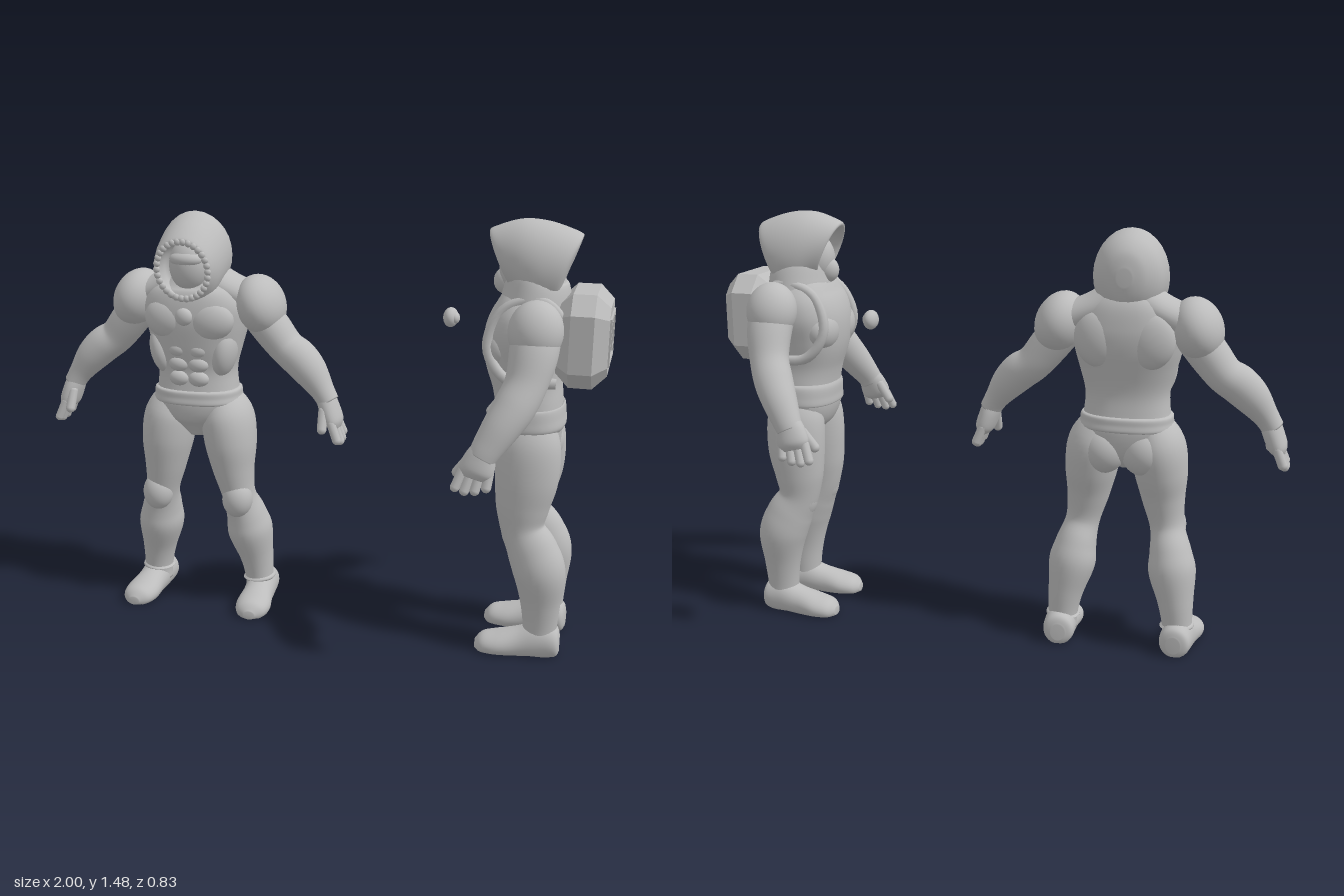
import * as THREE from 'three';

const clay = new THREE.MeshStandardMaterial({ color: 0xbcbcbc });
clay.name = 'clay grey';
const SEG = 28;

function add(parent, name, geo) {
  const m = new THREE.Mesh(geo, clay);
  m.name = name;
  parent.add(m);
  return m;
}

// Smoothly resample a list of numeric sections
function smooth(secs, steps = 6) {
  const out = [], n = secs.length - 1;
  for (let i = 0; i < n; i++) {
    const p = [secs[Math.max(0, i - 1)], secs[i], secs[i + 1], secs[Math.min(n, i + 2)]];
    for (let k = 0; k < steps; k++) {
      const t = k / steps;
      out.push(p[1].map((b, j) => {
        const a = p[0][j], c = p[2][j], d = p[3][j];
        return b + 0.5 * t * (c - a + t * (2 * a - 5 * b + 4 * c - d + t * (3 * (b - c) + d - a)));
      }));
    }
  }
  out.push(secs[n]);
  return out;
}

// Closed skin over rings of points
function skin(rings) {
  const pos = [], idx = [], n = rings.length;
  rings.forEach(r => r.forEach(p => pos.push(p.x, p.y, p.z)));
  for (let i = 0; i < n - 1; i++) for (let a = 0; a < SEG; a++) {
    const b = (a + 1) % SEG, r = i * SEG, q = r + SEG;
    idx.push(r + a, q + a, r + b, r + b, q + a, q + b);
  }
  [0, n - 1].forEach(i => {
    const c = new THREE.Vector3();
    rings[i].forEach(p => c.addScaledVector(p, 1 / SEG));
    const ci = pos.length / 3;
    pos.push(c.x, c.y, c.z);
    for (let a = 0; a < SEG; a++) {
      const b = (a + 1) % SEG, r = i * SEG;
      if (i === 0) idx.push(ci, r + a, r + b); else idx.push(ci, r + b, r + a);
    }
  });
  const g = new THREE.BufferGeometry();
  g.setAttribute('position', new THREE.Float32BufferAttribute(pos, 3));
  g.setIndex(idx);
  g.computeVertexNormals();
  return g;
}

// Limb or trunk: sections [x, y, z, width radius, depth radius]
function limb(secs, s = 1, power = 1) {
  const S = smooth(secs.map(([x, ...r]) => [x * s, ...r]));
  const P = S.map(v => new THREE.Vector3(v[0], v[1], v[2]));
  const bend = v => Math.sign(v) * Math.abs(v) ** power;
  return skin(S.map((v, i) => {
    const t = P[Math.min(i + 1, P.length - 1)].clone().sub(P[Math.max(i - 1, 0)]).normalize();
    const u = t.clone().cross(new THREE.Vector3(0, 0, 1)).normalize(), w = u.clone().cross(t);
    return Array.from({ length: SEG }, (_, k) => {
      const a = k / SEG * Math.PI * 2;
      return P[i].clone().addScaledVector(u, bend(Math.cos(a)) * v[3]).addScaledVector(w, bend(Math.sin(a)) * v[4]);
    });
  }));
}

// Front-to-back form: sections [z, centre y, half width, half height, slant], kept above y = floor
function frontLoft(secs, floor = -9) {
  return skin(smooth(secs).map(([z, y, rx, ry, sl]) => Array.from({ length: SEG }, (_, k) => {
    const a = k / SEG * Math.PI * 2, dy = Math.sin(a) * ry;
    return new THREE.Vector3(-Math.cos(a) * rx, Math.max(floor, y + dy), z + sl * dy);
  })));
}

function blob(parent, name, [x, y, z], [a, b, c], rz = 0, rx = 0) {
  const m = add(parent, name, new THREE.SphereGeometry(1, 28, 20));
  m.position.set(x, y, z);
  m.scale.set(a, b, c);
  m.rotation.set(rx, 0, rz);
  return m;
}

function finger(parent, name, from, to, r) {
  const a = new THREE.Vector3(...from), b = new THREE.Vector3(...to), d = b.clone().sub(a);
  const m = add(parent, name, new THREE.CapsuleGeometry(r, d.length(), 5, 10));
  m.position.copy(a).add(b).multiplyScalar(0.5);
  m.quaternion.setFromUnitVectors(new THREE.Vector3(0, 1, 0), d.normalize());
}

// Hand hanging from wrist to fingertips, thumb forward
function hand(parent, s, [wx, wy, wz], [tx, ty, tz]) {
  const at = (f, dx, dz) => [s * (wx + (tx - wx) * f + dx), wy + (ty - wy) * f, wz + (tz - wz) * f + dz];
  add(parent, 'palm', limb([[...at(-0.05, 0, 0), 0.035, 0.035], [...at(0.2, 0, 0), 0.036, 0.05],
    [...at(0.5, 0, 0), 0.033, 0.056], [...at(0.65, 0, 0), 0.018, 0.04]]));
  for (let i = 0; i < 4; i++) {
    const z = (i - 1.5) * 0.028, reach = [0.82, 0.9, 0.92, 0.86][i];
    finger(parent, 'finger', at(0.5, 0, z), at(reach, 0.002, z * 1.15), 0.016);
  }
  finger(parent, 'thumb', at(0.25, -0.015, 0.035), at(0.62, -0.035, 0.06), 0.017);
}

// Boot foot with flat sole
function foot(parent, s, x, z, turn) {
  const g = new THREE.Group();
  g.name = 'foot';
  add(g, 'boot', frontLoft([[-0.075, 0.045, 0.025, 0.03, 0], [-0.06, 0.05, 0.052, 0.055, 0], [0, 0.05, 0.056, 0.068, 0],
    [0.07, 0.035, 0.056, 0.055, 0], [0.14, 0.025, 0.064, 0.045, 0], [0.19, 0.02, 0.052, 0.036, 0], [0.215, 0.015, 0.02, 0.015, 0]], 0));
  g.position.set(s * x, 0, z);
  g.rotation.y = s * turn;
  parent.add(g);
}

// Figure with shoulder armour and a round hood
function armouredFigure() {
  const g = new THREE.Group();
  g.name = 'armouredFigure';
  add(g, 'torso', limb([[0, 0.65, 0, 0.025, 0.045], [0, 0.71, -0.01, 0.1, 0.1], [0, 0.78, -0.01, 0.155, 0.115], [0, 0.84, -0.01, 0.148, 0.105],
    [0, 0.91, -0.01, 0.145, 0.1], [0, 0.99, -0.01, 0.165, 0.115], [0, 1.07, -0.015, 0.185, 0.13], [0, 1.14, -0.02, 0.19, 0.13],
    [0, 1.2, -0.025, 0.15, 0.115], [0, 1.25, -0.02, 0.09, 0.085]], 1, 0.85));
  add(g, 'belt', limb([[0, 0.782, -0.01, 0.14, 0.1], [0, 0.788, -0.01, 0.162, 0.12], [0, 0.81, -0.01, 0.16, 0.118],
    [0, 0.832, -0.01, 0.157, 0.115], [0, 0.838, -0.01, 0.135, 0.095]], 1, 0.85));
  blob(g, 'chestButton', [0, 1.11, 0.118], [0.031, 0.031, 0.022]);
  // Hood shell folding into its lining
  add(g, 'hood', frontLoft([[-0.14, 1.31, 0.025, 0.03, 0], [-0.125, 1.31, 0.07, 0.085, 0], [-0.08, 1.305, 0.112, 0.133, 0],
    [-0.01, 1.305, 0.125, 0.155, 0], [0.06, 1.285, 0.12, 0.15, 0], [0.11, 1.275, 0.108, 0.118, 0.1],
    [0.122, 1.272, 0.098, 0.106, 0.1], [0.11, 1.272, 0.088, 0.095, 0.1], [0.05, 1.275, 0.085, 0.09, 0], [0.03, 1.275, 0.02, 0.02, 0]]));
  for (let i = 0; i < 30; i++) {
    const a = i / 30 * Math.PI * 2;
    blob(g, 'hoodTrim', [Math.cos(a) * 0.094, 1.272 + Math.sin(a) * 0.1, 0.12 + Math.sin(a) * 0.01], [0.012, 0.012, 0.009]);
  }
  blob(g, 'mask', [0, 1.28, 0.05], [0.072, 0.092, 0.062]);
  blob(g, 'visor', [0, 1.305, 0.075], [0.062, 0.03, 0.042]);
  for (const s of [1, -1]) {
    blob(g, 'pectoral', [s * 0.075, 1.09, 0.065], [0.09, 0.075, 0.055], s * 0.15);
    blob(g, 'shoulderBlade', [s * 0.085, 1.1, -0.1], [0.085, 0.1, 0.05], s * -0.2);
    for (let i = 0; i < 3; i++) blob(g, 'abdominal', [s * 0.036, 0.985 - i * 0.052, 0.083], [0.038, 0.028, 0.024]);
    blob(g, 'sideMuscle', [s * 0.115, 0.97, 0.03], [0.045, 0.09, 0.065], s * -0.2);
    blob(g, 'buttock', [s * 0.07, 0.71, -0.06], [0.08, 0.085, 0.075]);
    add(g, 'trapezius', limb([[0.03, 1.23, -0.03, 0.07, 0.08], [0.12, 1.19, -0.035, 0.055, 0.085], [0.21, 1.15, -0.04, 0.06, 0.08]], s));
    blob(g, 'shoulderPlate', [s * 0.232, 1.138, -0.035], [0.085, 0.108, 0.118], s * 0.35);
    add(g, 'arm', limb([[0.22, 1.12, -0.035, 0.07, 0.08], [0.275, 1.05, -0.035, 0.068, 0.075], [0.325, 0.99, -0.035, 0.063, 0.07],
      [0.375, 0.955, -0.025, 0.066, 0.07], [0.42, 0.91, -0.015, 0.06, 0.063], [0.465, 0.85, -0.005, 0.043, 0.046], [0.49, 0.81, 0, 0.038, 0.042]], s));
    hand(g, s, [0.48, 0.825, 0], [0.54, 0.665, 0.005]);
    add(g, 'leg', limb([[0.08, 0.81, -0.015, 0.06, 0.08], [0.108, 0.73, -0.01, 0.092, 0.115], [0.122, 0.63, 0, 0.092, 0.11], [0.133, 0.53, 0.005, 0.075, 0.085],
      [0.15, 0.43, 0, 0.06, 0.068], [0.167, 0.35, -0.025, 0.072, 0.082], [0.178, 0.28, -0.04, 0.082, 0.09],
      [0.195, 0.18, -0.055, 0.063, 0.07], [0.204, 0.1, -0.06, 0.053, 0.058], [0.207, 0.04, -0.06, 0.053, 0.056]], s));
    blob(g, 'kneePad', [s * 0.155, 0.425, 0.035], [0.056, 0.07, 0.055]);
    add(g, 'bootCuff', limb([[0.204, 0.084, -0.06, 0.05, 0.055], [0.204, 0.09, -0.06, 0.06, 0.064], [0.203, 0.1, -0.06, 0.05, 0.055]], s));
    foot(g, s, 0.21, -0.072, 0.08);
  }
  return g;
}

// Backpack with chamfered edges and a framed rear panel
function backpack() {
  const g = new THREE.Group();
  g.name = 'backpack';
  const w = 0.118, h = 0.112, c = 0.035, shape = new THREE.Shape();
  [[-w + c, -h], [w - c, -h], [w, -h + c], [w, h - c], [w - c, h], [-w + c, h], [-w, h - c], [-w, -h + c]]
    .forEach(([x, y], i) => (i ? shape.lineTo(x, y) : shape.moveTo(x, y)));
  const geo = new THREE.ExtrudeGeometry(shape, { depth: 0.075, bevelEnabled: true, bevelSize: 0.042, bevelThickness: 0.045, bevelSegments: 1 });
  add(g, 'packShell', geo).position.set(0, 0, -0.035);
  for (const s of [1, -1]) {
    add(g, 'panelFrameSide', new THREE.BoxGeometry(0.012, 0.15, 0.012)).position.set(s * 0.095, 0, -0.08);
    add(g, 'panelFrameRail', new THREE.BoxGeometry(0.2, 0.012, 0.012)).position.set(0, s * 0.072, -0.08);
  }
  add(g, 'panelRib', new THREE.BoxGeometry(0.01, 0.09, 0.01)).position.set(0.01, 0.01, -0.081);
  add(g, 'panelFoot', new THREE.BoxGeometry(0.05, 0.01, 0.01)).position.set(-0.01, -0.035, -0.081);
  g.position.set(0, 1.107, -0.136);
  return g;
}

// Figure with a pointed hood and backpack
function hoodedFigure() {
  const g = new THREE.Group();
  g.name = 'hoodedFigure';
  add(g, 'torso', limb([[0, 0.66, 0.01, 0.025, 0.045], [0, 0.72, 0.015, 0.1, 0.09], [0, 0.79, 0.03, 0.143, 0.112], [0, 0.87, 0.035, 0.138, 0.112],
    [0, 0.94, 0.045, 0.136, 0.115], [0, 1.03, 0.058, 0.155, 0.13], [0, 1.11, 0.055, 0.175, 0.135],
    [0, 1.18, 0.04, 0.165, 0.12], [0, 1.24, 0.03, 0.12, 0.1], [0, 1.28, 0.03, 0.08, 0.08]], 1, 0.85));
  add(g, 'belt', limb([[0, 0.79, 0.03, 0.13, 0.1], [0, 0.798, 0.03, 0.15, 0.12], [0, 0.83, 0.032, 0.15, 0.12],
    [0, 0.868, 0.035, 0.145, 0.117], [0, 0.875, 0.035, 0.125, 0.1]], 1, 0.85));
  add(g, 'hood', frontLoft([[-0.105, 1.415, 0.03, 0.018, -0.3], [-0.09, 1.375, 0.075, 0.06, -0.35], [-0.06, 1.335, 0.112, 0.115, -0.2],
    [0, 1.33, 0.125, 0.145, 0], [0.06, 1.335, 0.12, 0.145, 0.15], [0.115, 1.338, 0.1, 0.118, 0.4],
    [0.145, 1.34, 0.082, 0.1, 0.45], [0.13, 1.335, 0.072, 0.088, 0.45], [0.07, 1.33, 0.07, 0.08, 0.2], [0.05, 1.33, 0.02, 0.02, 0]]));
  add(g, 'hoodCollar', limb([[0, 1.19, 0.03, 0.15, 0.115], [0, 1.24, 0.03, 0.138, 0.112], [0, 1.29, 0.03, 0.122, 0.1], [0, 1.33, 0.02, 0.1, 0.085]]));
  blob(g, 'mask', [0, 1.315, 0.09], [0.062, 0.085, 0.065]);
  blob(g, 'maskSnout', [0, 1.275, 0.13], [0.035, 0.045, 0.042]);
  g.add(backpack());
  for (const s of [1, -1]) {
    blob(g, 'chestMuscle', [s * 0.07, 1.07, 0.13], [0.085, 0.075, 0.06], s * 0.15);
    blob(g, 'buttock', [s * 0.07, 0.72, -0.015], [0.075, 0.085, 0.068]);
    add(g, 'packStrap', new THREE.TubeGeometry(new THREE.CatmullRomCurve3([[0.12, 1.16, -0.09], [0.12, 1.235, 0], [0.12, 1.2, 0.12], [0.135, 1.08, 0.165], [0.145, 0.98, 0.1], [0.13, 0.97, -0.06]]
      .map(([x, y, z]) => new THREE.Vector3(x * s, y, z))), 32, 0.018, 10));
    blob(g, 'shoulder', [s * 0.205, 1.155, 0.005], [0.082, 0.1, 0.088], s * 0.35);
    add(g, 'arm', limb([[0.18, 1.17, 0.005, 0.07, 0.08], [0.23, 1.09, 0.005, 0.07, 0.078], [0.272, 1, 0.02, 0.062, 0.068],
      [0.308, 0.93, 0.05, 0.063, 0.067], [0.34, 0.87, 0.085, 0.056, 0.06], [0.366, 0.81, 0.12, 0.043, 0.05], [0.375, 0.78, 0.135, 0.038, 0.045]], s));
    hand(g, s, [0.367, 0.81, 0.13], [0.402, 0.665, 0.168]);
    add(g, 'leg', limb([[0.065, 0.82, 0.02, 0.06, 0.08], [0.083, 0.74, 0.02, 0.084, 0.105], [0.092, 0.63, 0.022, 0.085, 0.106], [0.096, 0.53, 0.03, 0.075, 0.09],
      [0.098, 0.45, 0.025, 0.066, 0.074], [0.104, 0.38, -0.01, 0.076, 0.085], [0.11, 0.3, -0.04, 0.08, 0.088],
      [0.108, 0.19, -0.048, 0.058, 0.068], [0.104, 0.1, -0.05, 0.05, 0.058], [0.104, 0.04, -0.05, 0.05, 0.056]], s));
    blob(g, 'kneePad', [s * 0.1, 0.43, 0.05], [0.05, 0.075, 0.045], 0, 0.25);
    foot(g, s, 0.106, -0.045, 0.06);
  }
  return g;
}

export function createModel() {
  const model = new THREE.Group();
  model.name = 'twoFigures';
  const a = armouredFigure();
  a.position.x = -0.445;
  const b = hoodedFigure();
  b.position.x = 0.78;
  b.rotation.y = -Math.PI / 2;
  model.add(a, b);
  // Small loose pebble between the figures
  blob(model, 'pebble', [0.453, 1.12, -0.093], [0.026, 0.034, 0.038]);
  blob(model, 'pebbleTip', [0.47, 1.12, -0.085], [0.016, 0.02, 0.022]);
  return model;
}
